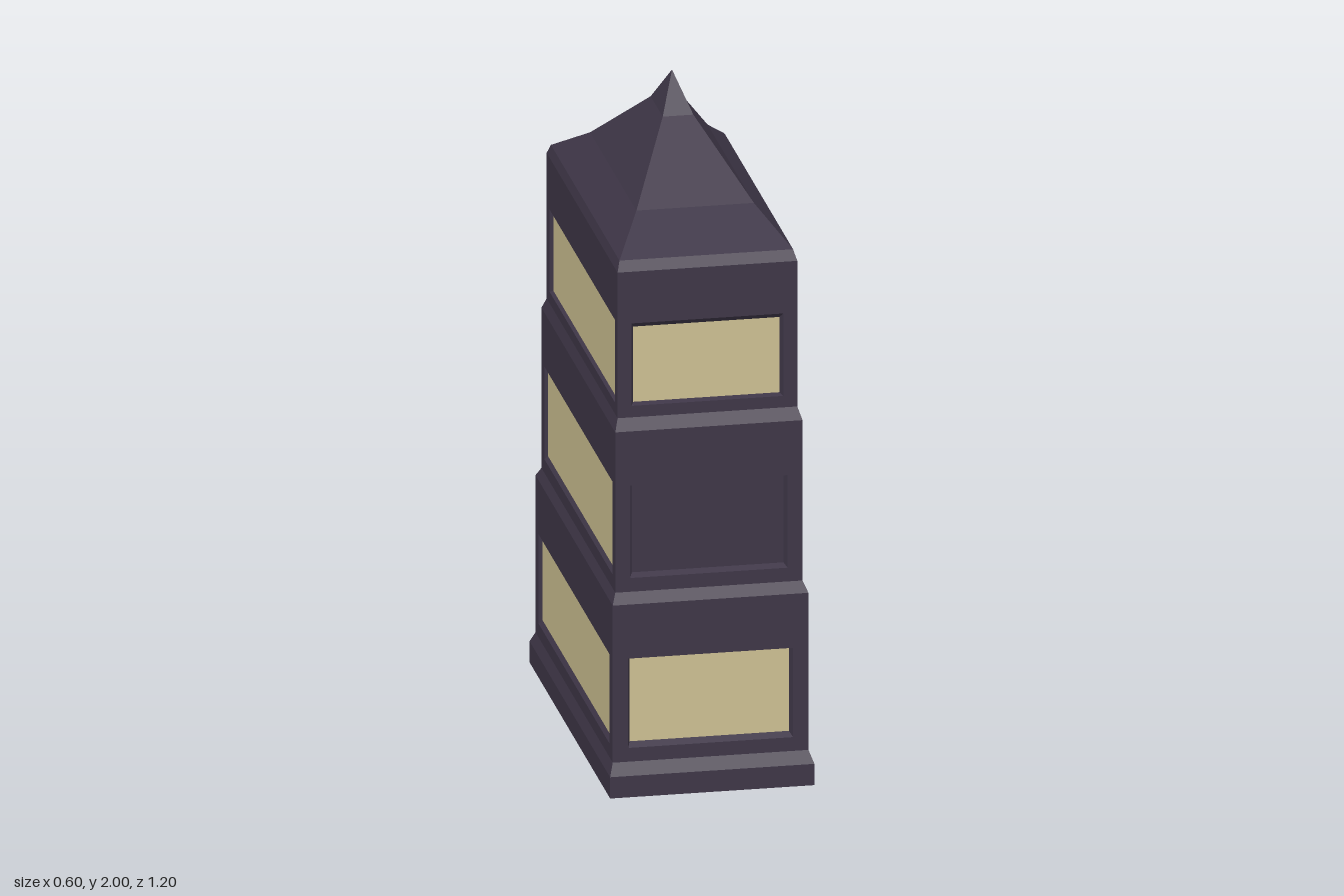
import * as THREE from 'three';

const dark = new THREE.MeshStandardMaterial({ color: 0x3e3647, flatShading: true });
const cream = new THREE.MeshStandardMaterial({ color: 0xcdc092, flatShading: true });

// Quads joining consecutive four-cornered loops; optional flat cap on the last loop
function loftMesh(name, loops, material, cap = false) {
  const pos = [];
  const quad = (a, b, c, d) => [a, b, c, a, c, d].forEach((p) => pos.push(...p));
  for (let k = 0; k + 1 < loops.length; k++) {
    const A = loops[k], B = loops[k + 1];
    for (let i = 0; i < 4; i++) quad(A[i], A[(i + 1) % 4], B[(i + 1) % 4], B[i]);
  }
  if (cap) quad(...loops[loops.length - 1]);
  const geo = new THREE.BufferGeometry();
  geo.setAttribute('position', new THREE.Float32BufferAttribute(pos, 3));
  geo.computeVertexNormals();
  const mesh = new THREE.Mesh(geo, material);
  mesh.name = name;
  return mesh;
}

// Horizontal rectangle, twice as deep as wide
const ring = ([h, y]) => [[-h / 2, y, h], [h / 2, y, h], [h / 2, y, -h], [-h / 2, y, -h]];

// Upright rectangle on the plane z = d
const rect = (w, y0, y1, d) => [[-w, y0, d], [w, y0, d], [w, y1, d], [-w, y1, d]];

// One storey wall with a sunken panel
function wall(name, halfWidth, offset, depth, y0, y1, open, pane, material) {
  const group = new THREE.Group();
  group.name = name;
  const sunk = rect(pane.w, pane.y0, pane.y1, offset - depth);
  group.add(loftMesh('wallFrame', [
    rect(halfWidth, y0, y1, offset),
    rect(open.w, open.y0, open.y1, offset),
    sunk,
  ], dark));
  group.add(loftMesh(material === cream ? 'windowPane' : 'doorPanel', [sunk], material, true));
  return group;
}

export function createModel() {
  const model = new THREE.Group();
  model.name = 'tower';

  // Plinth, ledges between storeys and peaked roof
  const bands = {
    plinth: [[0.6, 0], [0.6, 0.065], [0.575, 0.1]],
    lowerLedge: [[0.575, 0.58], [0.55, 0.61]],
    upperLedge: [[0.55, 1.1], [0.528, 1.135]],
    roof: [[0.528, 1.58], [0.51, 1.61], [0.345, 1.7], [0.09, 1.89], [0, 2]],
  };
  for (const [name, profile] of Object.entries(bands)) {
    model.add(loftMesh(name, profile.map(ring), dark));
  }
  model.add(loftMesh('underside', [ring([0.6, 0]).reverse()], dark, true));

  // Three storeys, each with a sunken panel in all four walls
  const storeys = [
    { h: 0.575, y: [0.1, 0.58], open: [0.142, 0.415], pane: [0.155, 0.41], end: 0.234, side: 0.52 },
    { h: 0.55, y: [0.61, 1.1], open: [0.652, 0.935], pane: [0.662, 0.928], end: 0.223, side: 0.5 },
    { h: 0.528, y: [1.135, 1.58], open: [1.17, 1.422], pane: [1.175, 1.405], end: 0.215, side: 0.478 },
  ];
  const names = ['frontWall', 'leftWall', 'backWall', 'rightWall'];
  storeys.forEach((s, level) => {
    const storey = new THREE.Group();
    storey.name = ['lowerStorey', 'middleStorey', 'upperStorey'][level];
    names.forEach((name, f) => {
      const isEnd = f % 2 === 0;
      const w = isEnd ? s.end : s.side;
      const isDoor = level === 1 && f === 0;
      const face = wall(
        name, isEnd ? s.h / 2 : s.h, isEnd ? s.h : s.h / 2, isEnd ? 0.02 : 0.01, s.y[0], s.y[1],
        { w: w + 0.008, y0: s.open[0], y1: s.open[1] },
        { w, y0: s.pane[0], y1: s.pane[1] },
        isDoor ? dark : cream,
      );
      face.rotation.y = f * Math.PI / 2;
      storey.add(face);
    });
    model.add(storey);
  });
  return model;
}
